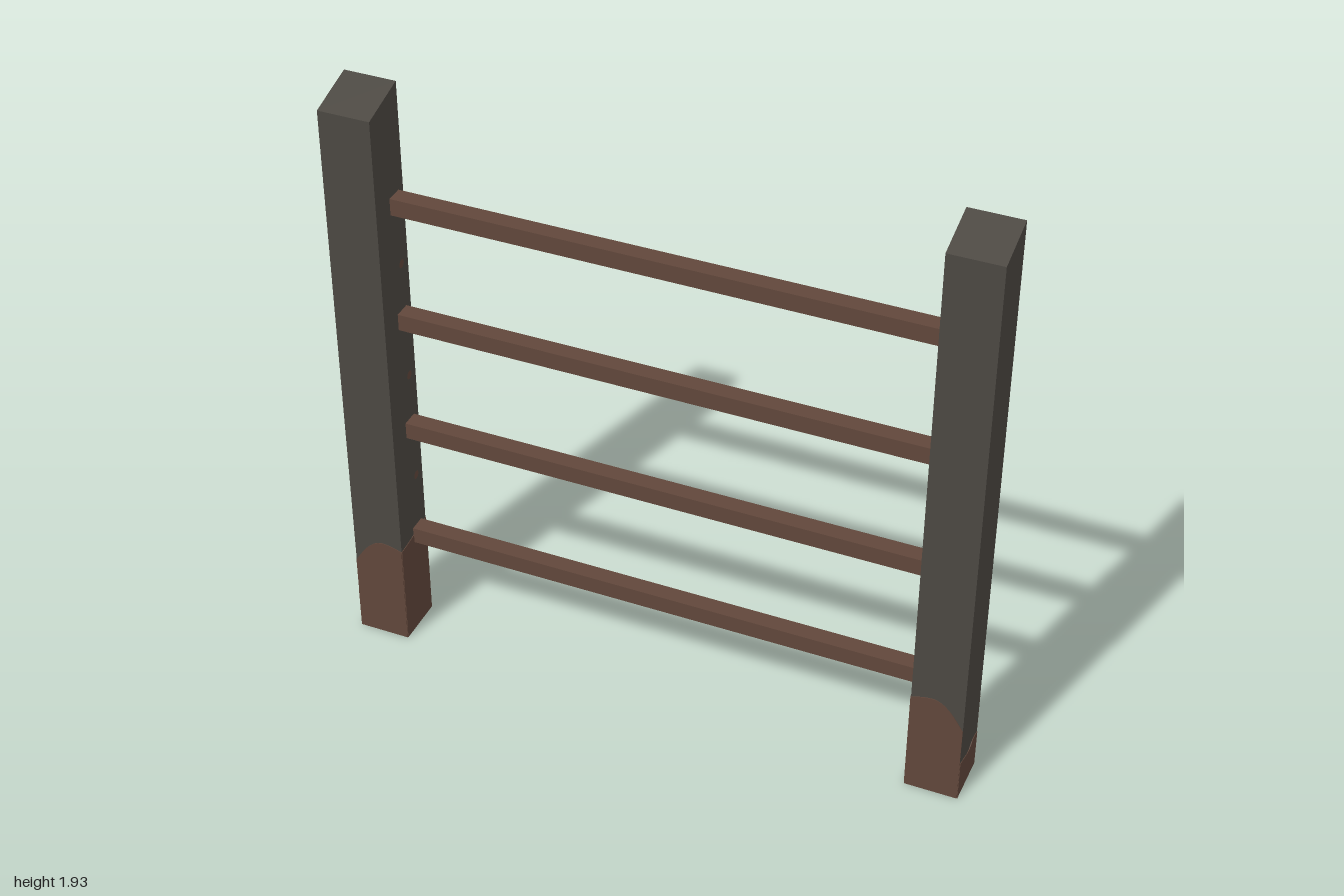
import * as THREE from 'three';

const HALF = 0.082;      // half the post thickness
const POST_X = 0.917;    // post centre line
const SKIN = 0.002;      // thickness of painted patches

const wood = new THREE.MeshStandardMaterial({ color: 0x4c4842 });
wood.name = 'dark weathered wood';
const brown = new THREE.MeshStandardMaterial({ color: 0x61473b });
brown.name = 'reddish brown';

function add(parent, name, geometry, material) {
  const mesh = new THREE.Mesh(geometry, material);
  mesh.name = name;
  parent.add(mesh);
  return mesh;
}

// Square post with its top cut at a slant, higher at the back
function postGeometry() {
  const profile = new THREE.Shape([
    new THREE.Vector2(-HALF, 0), new THREE.Vector2(HALF, 0),
    new THREE.Vector2(HALF, 1.935), new THREE.Vector2(-HALF, 1.89),
  ]);
  const g = new THREE.ExtrudeGeometry(profile, { depth: HALF * 2, bevelEnabled: false });
  g.translate(0, 0, -HALF);
  return g.rotateY(Math.PI / 2);
}

// Thin plate on one post face with a wavy upper edge through the given heights
function stainGeometry(heights, angle) {
  const n = heights.length - 1;
  const edge = new THREE.SplineCurve(
    heights.map((h, i) => new THREE.Vector2(-HALF + (2 * HALF * i) / n, h))).getPoints(16);
  const shape = new THREE.Shape([
    new THREE.Vector2(HALF, 0), ...edge.reverse(), new THREE.Vector2(-HALF, 0),
  ]);
  const g = new THREE.ExtrudeGeometry(shape, { depth: SKIN, bevelEnabled: false });
  return g.translate(0, 0, HALF).rotateY(angle);
}

function makePost(side) {
  const post = new THREE.Group();
  post.name = side > 0 ? 'leftPost' : 'rightPost';
  post.position.x = side * POST_X;
  add(post, 'postBody', postGeometry(), wood);

  // Stained foot, one plate per face
  const stains = [
    ['frontStain', [0.35, 0.362, 0.362, 0.33, 0.27], 0],
    ['backStain', [0.27, 0.3, 0.33, 0.35], Math.PI],
    ['outerStain', [0.14, 0.13, 0.12, 0.135, 0.13], side * Math.PI / 2],
    ['innerStain', [0.37, 0.365, 0.355, 0.35], -side * Math.PI / 2],
  ];
  for (const [name, heights, angle] of stains) {
    const h = side > 0 ? heights : [...heights].reverse();
    add(post, name, stainGeometry(h, angle), brown);
  }

  // Small marks on the inner face between the rails
  for (const y of [0.57, 0.95, 1.35]) {
    const mark = add(post, 'innerMark', new THREE.CircleGeometry(0.014, 12), brown);
    mark.rotation.y = -side * Math.PI / 2;
    mark.position.set(-side * (HALF + SKIN), y, -0.04);
  }
  return post;
}

export function createModel() {
  const model = new THREE.Group();
  model.name = 'railFence';
  for (const side of [1, -1]) model.add(makePost(side));

  // Four square rails set slightly behind the middle of the posts
  for (const y of [0.358, 0.767, 1.167, 1.567]) {
    const rail = add(model, 'rail', new THREE.BoxGeometry(1.68, 0.055, 0.055), brown);
    rail.position.set(0, y, -0.027);
  }
  return model;
}
